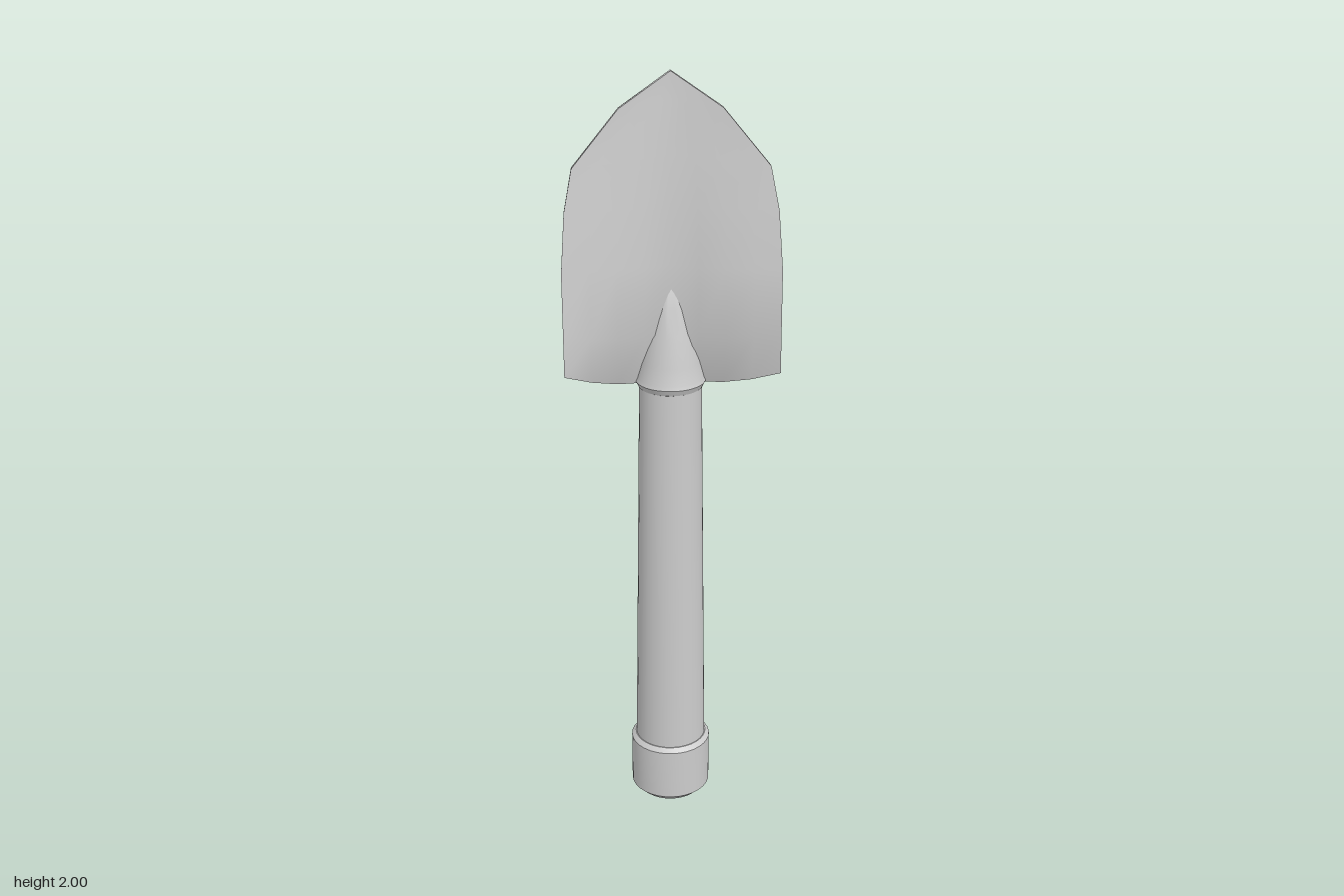
import * as THREE from 'three';
import { toCreasedNormals } from 'three/addons/utils/BufferGeometryUtils.js';

const grey = new THREE.MeshStandardMaterial({ color: 0xcccccc });
const DEPTH = 0.92; // the round parts are slightly flattened front to back

function part(name, geometry, crease = 0.6) {
  const mesh = new THREE.Mesh(toCreasedNormals(geometry, crease), grey);
  mesh.name = name;
  return mesh;
}

// Round part from [radius, y] pairs, bottom to top
function turned(profile) {
  const points = profile.map(([r, y]) => new THREE.Vector2(r, y));
  const geometry = new THREE.LatheGeometry(points, 32);
  geometry.scale(1, 1, DEPTH);
  geometry.translate(0, 0, -0.002);
  return geometry;
}

// Dished blade, thick in the middle and thin at the rim:
// a closed cross-section per row, lofted from neck to tip
function bladeGeometry() {
  // half width, then [centre, middle, edge] of height, front z and back z
  const rows = [
    [0.26, [1.25, 1.245, 1.30], [-0.003, 0.018, 0.1], [-0.025, -0.008, 0.086]],
    [0.26, [1.38, 1.38, 1.40], [0.02, 0.066, 0.089], [-0.03, -0.006, 0.077]],
    [0.26, [1.55, 1.55, 1.55], [0.022, 0.055, 0.075], [-0.038, -0.014, 0.064]],
    [0.25, [1.69, 1.69, 1.69], [0.02, 0.04, 0.056], [-0.053, -0.025, 0.044]],
    [0.23, [1.81, 1.80, 1.79], [0.012, 0.026, 0.04], [-0.062, -0.03, 0.026]],
    [0.12, [1.935, 1.93, 1.92], [0.002, 0.007, 0.015], [-0.036, -0.024, 0.001]],
    [0, [2, 2, 2], [-0.004, -0.004, -0.004], [-0.018, -0.018, -0.018]],
  ];
  const columns = [-1, -0.75, -0.5, -0.25, 0, 0.25, 0.5, 0.75, 1];
  const n = columns.length;
  const ring = n * 2;
  // Parabola through the centre, middle and edge values
  const blend = ([c, m, e], t) =>
    c * (1 - t) * (1 - 2 * t) + m * 4 * t * (1 - t) + e * t * (2 * t - 1);

  const positions = [];
  const index = [];
  for (const [w, height, front, back] of rows) {
    const point = (u, face) => {
      const t = Math.abs(u);
      positions.push(u * w, blend(height, t), blend(face, t));
    };
    columns.forEach((u) => point(u, front));
    columns.forEach((u) => point(-u, back));
  }
  for (let j = 0; j < rows.length - 1; j++) {
    for (let i = 0; i < ring; i++) {
      const a = j * ring + i;
      const b = j * ring + ((i + 1) % ring);
      index.push(a, b, b + ring, a, b + ring, a + ring);
    }
  }
  // Lower edge
  for (let i = 0; i < n - 1; i++) {
    const back = ring - 1 - i;
    index.push(i, back, i + 1, i + 1, back, back - 1);
  }
  const geometry = new THREE.BufferGeometry();
  geometry.setAttribute('position', new THREE.Float32BufferAttribute(positions, 3));
  geometry.setIndex(index);
  return geometry;
}

// Tapered socket with a lip around the handle, leaning back a little
function socketGeometry() {
  const geometry = turned([
    [0.074, 1.23], [0.08, 1.233], [0.087, 1.248], [0.083, 1.258], [0.076, 1.3],
    [0.063, 1.37], [0.047, 1.44], [0.032, 1.5], [0.018, 1.528], [0, 1.535],
  ]);
  const p = geometry.attributes.position;
  for (let i = 0; i < p.count; i++) {
    p.setZ(i, p.getZ(i) - 0.01 * Math.max(0, p.getY(i) - 1.26) / 0.27);
  }
  return geometry;
}

export function createModel() {
  const model = new THREE.Group();
  model.name = 'trowel';
  model.add(
    part('endCap', turned([
      [0, 0], [0.07, 0], [0.085, 0.008], [0.107, 0.03], [0.107, 0.178], [0.096, 0.19], [0.09, 0.19],
    ])),
    part('handle', turned([[0.094, 0.18], [0.078, 1.235]])),
    part('socket', socketGeometry()),
    part('blade', bladeGeometry(), 1.2),
  );
  return model;
}
